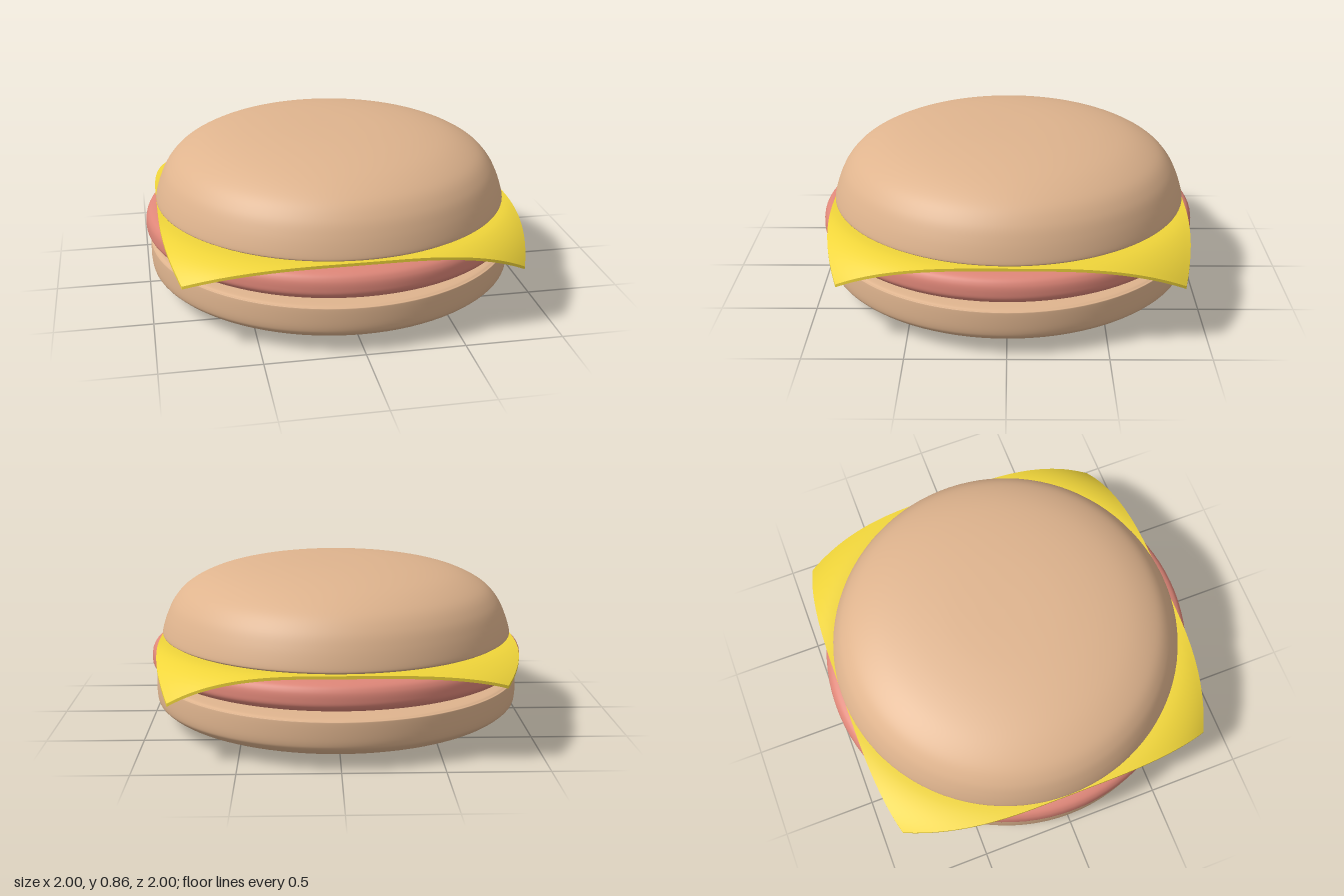
import * as THREE from 'three';

// Smooth round part turned from a few profile points (radius, height), bottom to top
function turned(name, color, points) {
  const curve = new THREE.SplineCurve(points.map(([r, y]) => new THREE.Vector2(r, y)));
  const profile = curve.getPoints(points.length * 6);
  profile.forEach(p => { p.x = Math.max(0, p.x); p.y = Math.max(0, p.y); });
  const mesh = new THREE.Mesh(
    new THREE.LatheGeometry(profile, 96),
    new THREE.MeshStandardMaterial({ color })
  );
  mesh.name = name;
  return mesh;
}

// Thin square slice whose four corners droop over the patty
function cheeseSlice() {
  const half = 0.94, thickness = 0.015;
  const geo = new THREE.BoxGeometry(half * 2, thickness, half * 2, 56, 1, 56);
  const pos = geo.attributes.position;
  // drop and inward pull (x, z) of each corner, keyed by the signs of x and z
  const corners = {
    '++': [0.14, 0.10, 0.10],
    '+-': [0.15, 0.11, 0.07],
    '-+': [0.11, 0.08, 0.12],
    '--': [0.07, 0.14, 0.06],
  };
  for (let i = 0; i < pos.count; i++) {
    const x = pos.getX(i), z = pos.getZ(i);
    const [drop, inX, inZ] = corners[(x > 0 ? '+' : '-') + (z > 0 ? '+' : '-')];
    const t = Math.max(0, (Math.hypot(x, z) - 0.96) / (half * Math.SQRT2 - 0.96));
    const bend = t ** 1.5;
    pos.setXYZ(i,
      x - Math.sign(x) * inX * bend,
      pos.getY(i) - drop * bend,
      z - Math.sign(z) * inZ * bend);
  }
  geo.computeVertexNormals();
  const mesh = new THREE.Mesh(geo, new THREE.MeshStandardMaterial({ color: 0xf0d53a }));
  mesh.name = 'cheeseSlice';
  mesh.position.set(0, 0.458, -0.005);
  return mesh;
}

export function createModel() {
  const group = new THREE.Group();
  group.name = 'cheeseburger';
  const bun = 0xdfb48e;

  // Bottom bun: flat top, rounded lower edge
  group.add(turned('bottomBun', bun, [
    [0, 0.003], [0.45, 0.01], [0.75, 0.03], [0.89, 0.06], [0.96, 0.1], [0.98, 0.14],
    [0.98, 0.235], [0.97, 0.25], [0.92, 0.258], [0.7, 0.262], [0, 0.264],
  ]));

  // Patty: wide disc with a rounded rim
  group.add(turned('patty', 0xde8678, [
    [0, 0.268], [0.7, 0.27], [0.87, 0.28], [0.96, 0.298], [0.995, 0.325], [1, 0.36],
    [0.992, 0.4], [0.965, 0.428], [0.9, 0.443], [0.75, 0.449], [0, 0.45],
  ]));

  group.add(cheeseSlice());

  // Top bun: broad dome with a flat underside
  const topBun = turned('topBun', bun, [
    [0, 0.466], [0.7, 0.467], [0.9, 0.469], [0.932, 0.476], [0.94, 0.492], [0.912, 0.58],
    [0.87, 0.66], [0.8, 0.73], [0.68, 0.79], [0.53, 0.829], [0.35, 0.853], [0.17, 0.863], [0, 0.865],
  ]);
  topBun.position.z = -0.005;
  group.add(topBun);

  return group;
}
